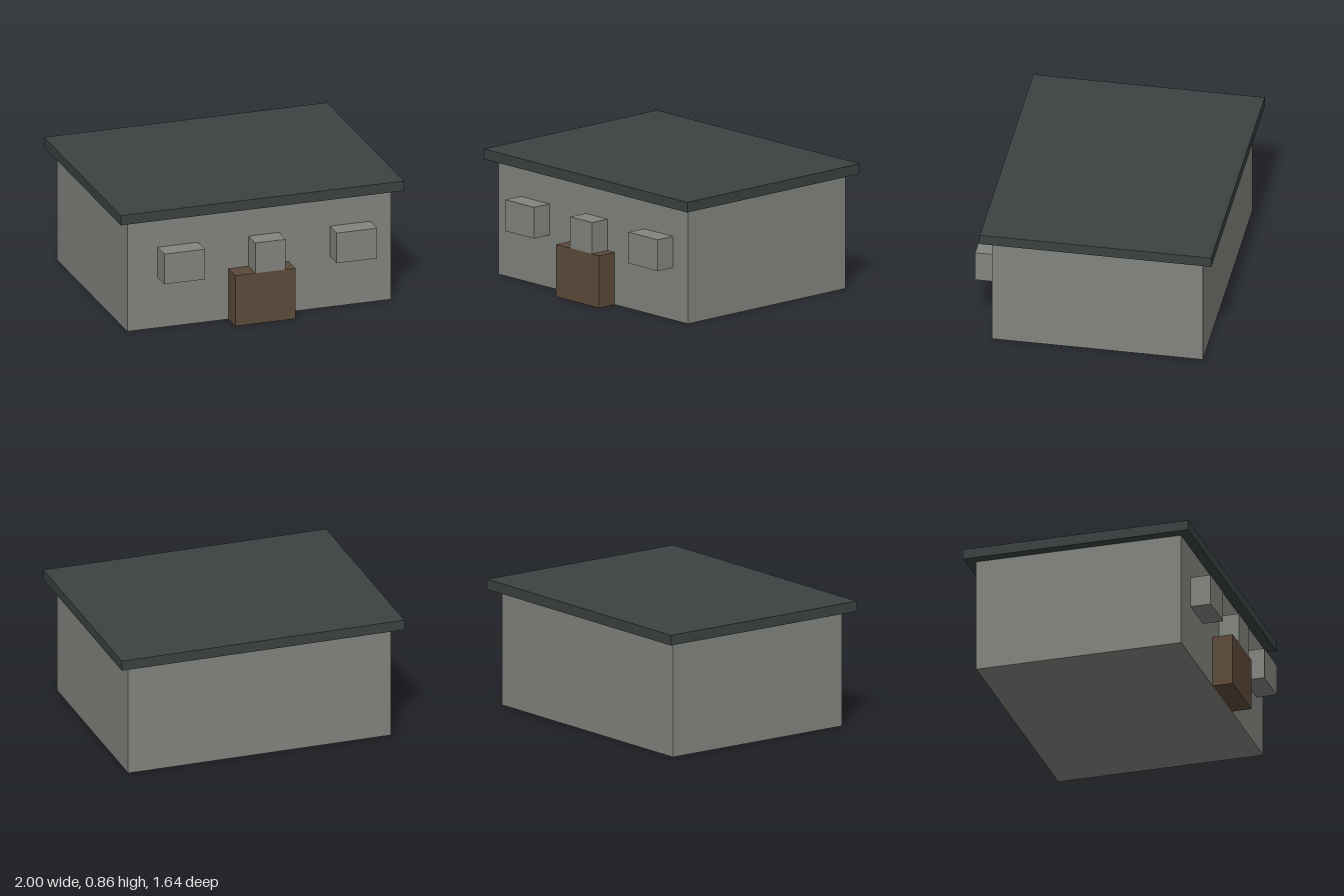
import * as THREE from 'three';

export function createModel() {
  const model = new THREE.Group();
  model.name = 'house';

  const material = (name, color) => {
    const m = new THREE.MeshStandardMaterial({ color });
    m.name = name;
    return m;
  };
  const stone = material('grey stone', 0x82847e);
  const slate = material('dark slate', 0x3b4241);
  const wood = material('brown wood', 0x5c4a3a);

  // Box given by its minimum and maximum corners
  const addBox = (name, mat, [x0, y0, z0], [x1, y1, z1]) => {
    const mesh = new THREE.Mesh(new THREE.BoxGeometry(x1 - x0, y1 - y0, z1 - z0), mat);
    mesh.position.set((x0 + x1) / 2, (y0 + y1) / 2, (z0 + z1) / 2);
    mesh.name = name;
    model.add(mesh);
  };

  const front = 0.68, outer = 0.82; // wall face and face of projecting blocks

  // Main building and overhanging flat roof
  addBox('walls', stone, [-0.93, 0, -0.75], [0.93, 0.79, front]);
  addBox('roof', slate, [-1, 0.79, -0.82], [1, 0.86, 0.75]);

  // Projecting door and the window blocks above and beside it
  addBox('door', wood, [-0.215, 0, front], [0.21, 0.36, outer]);
  const windows = [
    ['rightWindow', -0.715, -0.43],
    ['centreWindow', -0.075, 0.14],
    ['leftWindow', 0.5, 0.785],
  ];
  for (const [name, x0, x1] of windows) {
    addBox(name, stone, [x0, 0.36, front], [x1, 0.575, outer]);
  }

  return model;
}
